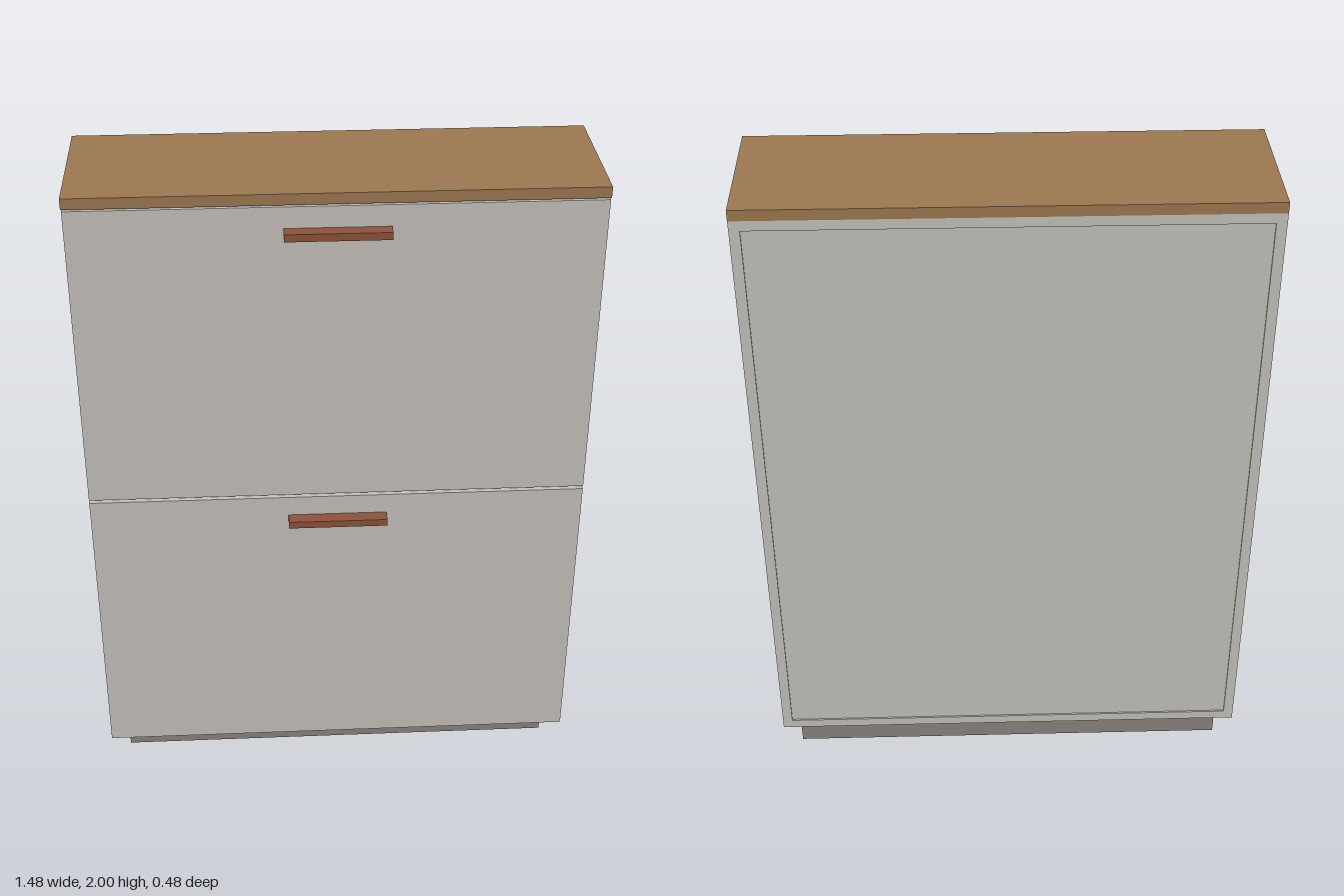
import * as THREE from 'three';

function material(name, color) {
  const m = new THREE.MeshStandardMaterial({ color });
  m.name = name;
  return m;
}

export function createModel() {
  const body = material('warm grey panel', 0xc3c0ba);
  const wood = material('oak top', 0x9b7750);
  const plinthGrey = material('plinth grey', 0x88827c);
  const copper = material('copper handle', 0x8c523a);

  const model = new THREE.Group();
  model.name = 'tiltDoorCabinet';

  // Box given by its minimum and maximum corners
  function box(name, mat, [x0, y0, z0], [x1, y1, z1], parent = model) {
    const mesh = new THREE.Mesh(new THREE.BoxGeometry(x1 - x0, y1 - y0, z1 - z0), mat);
    mesh.position.set((x0 + x1) / 2, (y0 + y1) / 2, (z0 + z1) / 2);
    mesh.name = name;
    parent.add(mesh);
    return mesh;
  }

  const W = 0.738, T = 0.03, inner = W - T;
  const back = -0.24, carcassFront = 0.168, front = 0.2;
  const bottom = 0.098, top = 1.968;

  // Plinth and worktop
  box('plinth', plinthGrey, [-0.685, 0, -0.2], [0.685, bottom, 0.115]);
  box('topBoard', wood, [-W, top, back], [W, 2, front]);

  // Carcass: sides, horizontal boards and back
  const carcass = new THREE.Group();
  carcass.name = 'carcass';
  model.add(carcass);
  box('rightSide', body, [-W, bottom, back], [-inner, top, carcassFront], carcass);
  box('leftSide', body, [inner, bottom, back], [W, top, carcassFront], carcass);
  box('bottomBoard', body, [-inner, bottom, back], [inner, bottom + T, carcassFront], carcass);
  box('upperBoard', body, [-inner, top - T, back], [inner, top, carcassFront], carcass);
  box('middleShelf', body, [-inner, 1.018, back + 0.02], [inner, 1.048, carcassFront], carcass);
  box('backPanel', body, [-inner, bottom + T, back + 0.005], [inner, top - T, back + 0.02], carcass);

  // Two flap doors, each with a bar handle near its top edge
  for (const [label, y0, y1] of [['lower', 0.1, 1.027], ['upper', 1.037, 1.963]]) {
    const door = new THREE.Group();
    door.name = label + 'Door';
    model.add(door);
    box(label + 'DoorPanel', body, [-0.736, y0, carcassFront + 0.002], [0.736, y1, front], door);
    box(label + 'Handle', copper, [-0.147, y1 - 0.085, front], [0.147, y1 - 0.063, 0.24], door);
  }

  return model;
}
